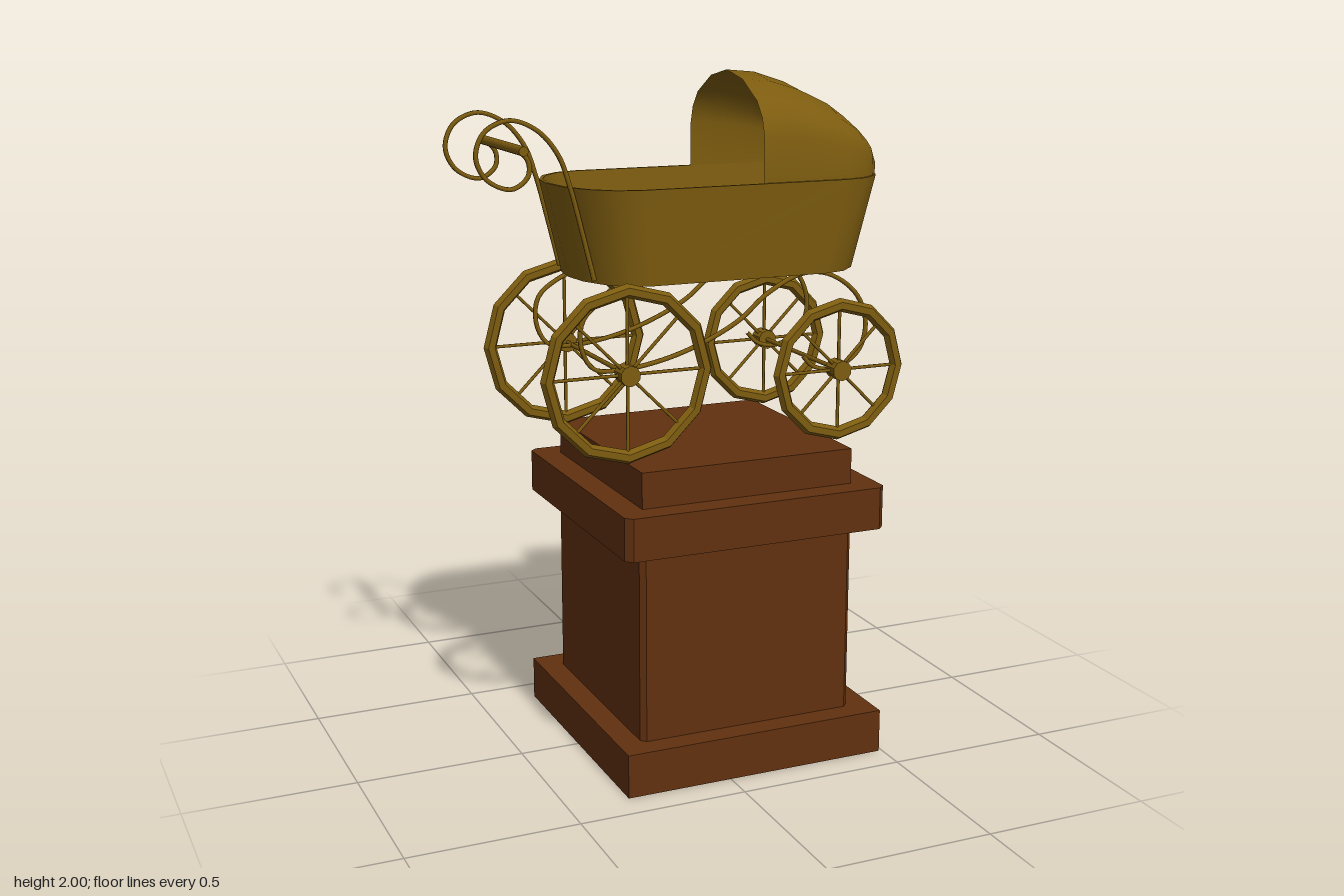
import * as THREE from 'three';
import { toCreasedNormals } from 'three/addons/utils/BufferGeometryUtils.js';

const gold = new THREE.MeshStandardMaterial({ color: 0x7d5c0f });
const goldFlat = new THREE.MeshStandardMaterial({ color: 0x7d5c0f, flatShading: true });
const goldThin = new THREE.MeshStandardMaterial({ color: 0x7d5c0f, side: THREE.DoubleSide });
const wood = new THREE.MeshStandardMaterial({ color: 0x61300f, flatShading: true });
const ZC = -0.015; // middle plane of the pram

function add(parent, name, geometry, material, x = 0, y = 0, z = 0) {
  const mesh = new THREE.Mesh(geometry, material);
  mesh.name = name;
  mesh.position.set(x, y, z);
  parent.add(mesh);
  return mesh;
}

// Skin through rows of points that all have the same length
function loft(rows, crease) {
  const n = rows[0].length;
  const index = [];
  for (let i = 0; i < rows.length - 1; i++) {
    for (let j = 0; j < n - 1; j++) {
      const a = i * n + j, b = a + n;
      index.push(a, b, a + 1, b, b + 1, a + 1);
    }
  }
  const geometry = new THREE.BufferGeometry().setFromPoints(rows.flat());
  geometry.setIndex(index);
  return toCreasedNormals(geometry, crease);
}

// Square block with small chamfers on its upright corners
function block(half, chamfer, height) {
  const h = half, c = half - chamfer;
  const shape = new THREE.Shape(
    [[c, -h], [h, -c], [h, c], [c, h], [-c, h], [-h, c], [-h, -c], [-c, -h]].map(p => new THREE.Vector2(...p)));
  return new THREE.ExtrudeGeometry(shape, { depth: height, bevelEnabled: false }).rotateX(-Math.PI / 2);
}

// Plan outline with straight sides and elliptical ends
function outline(xl, xr, rx, hz, y) {
  const points = [];
  for (const [cx, start] of [[xr, -Math.PI / 2], [xl, Math.PI / 2]]) {
    for (let k = 0; k <= 8; k++) {
      const a = start + k * Math.PI / 8;
      points.push(new THREE.Vector3(cx + rx * Math.cos(a), y, ZC + hz * Math.sin(a)));
    }
  }
  points.push(points[0].clone());
  return points;
}

function tube(points, radius, segments) {
  const curve = new THREE.CatmullRomCurve3(points.map(([x, y]) => new THREE.Vector3(x, y, 0)));
  return new THREE.TubeGeometry(curve, segments, radius, 6);
}

function makeWheel(name, radius) {
  const wheel = new THREE.Group();
  wheel.name = name;
  add(wheel, 'rim', new THREE.TorusGeometry(radius - 0.02, 0.02, 6, 12), goldFlat);
  add(wheel, 'hub', new THREE.CylinderGeometry(0.03, 0.03, 0.052, 10).rotateX(Math.PI / 2), goldFlat);
  const length = radius - 0.03;
  for (let i = 0; i < 8; i++) {
    const spoke = new THREE.CylinderGeometry(0.005, 0.005, length, 6).translate(0, length / 2, 0);
    add(wheel, 'spoke', spoke, gold).rotation.z = i * Math.PI / 4;
  }
  return wheel;
}

export function createModel() {
  const model = new THREE.Group();

  // Pedestal
  const pedestal = new THREE.Group();
  pedestal.name = 'pedestal';
  pedestal.position.set(0.085, 0, 0.003);
  model.add(pedestal);
  add(pedestal, 'pedestalBase', new THREE.BoxGeometry(0.81, 0.13, 0.81), wood, 0, 0.065, 0);
  add(pedestal, 'pedestalShaft', block(0.335, 0.015, 0.57), wood, 0, 0.13, 0);
  add(pedestal, 'pedestalCornice', block(0.405, 0.02, 0.125), wood, 0, 0.7, 0);
  add(pedestal, 'pedestalTop', new THREE.BoxGeometry(0.658, 0.105, 0.66), wood, 0, 0.8775, 0);

  // Pram
  const pram = new THREE.Group();
  pram.name = 'pram';
  model.add(pram);

  // Open basket: underside, outer wall, rim, inner wall, floor
  add(pram, 'basket', loft([
    outline(0.115, 0.115, 0, 0, 1.43),
    outline(-0.16, 0.38, 0.165, 0.24, 1.43),
    outline(-0.2, 0.43, 0.188, 0.262, 1.7),
    outline(-0.2, 0.43, 0.178, 0.252, 1.7),
    outline(-0.16, 0.38, 0.153, 0.23, 1.44),
    outline(0.115, 0.115, 0, 0, 1.44),
  ], 0.6), gold);

  // Hood: one arch swept to the end, shrinking in height and width
  const arch = [[-1, 0], [-1, 0.43], [-0.94, 0.6], [-0.8, 0.75], [-0.42, 0.93], [0, 1],
    [0.42, 0.93], [0.8, 0.75], [0.94, 0.6], [1, 0.43], [1, 0]];
  const stations = [[0.168, 0.3], [0.255, 0.292], [0.35, 0.262], [0.44, 0.218], [0.5, 0.175],
    [0.545, 0.13], [0.58, 0.075], [0.603, 0.03], [0.613, 0]];
  add(pram, 'hood', loft(stations.map(([x, h]) => {
    const t = Math.max(0, (x - 0.43) / 0.186);
    const w = 0.252 * Math.sqrt(1 - t * t);
    return arch.map(([z, y]) => new THREE.Vector3(x, 1.7 + y * h, ZC + z * w));
  }), 0.6), goldThin);

  // Wheels and axles: radius, centre, and the z of each side
  for (const [name, r, x, y, zs] of [
    ['largeWheel', 0.257, -0.245, 1.188, [0.232, -0.27]],
    ['smallWheel', 0.212, 0.42, 1.144, [0.232, -0.26]],
  ]) {
    for (const z of zs) {
      const wheel = makeWheel(name, r);
      wheel.position.set(x, y, z);
      pram.add(wheel);
    }
    add(pram, 'axle', new THREE.CylinderGeometry(0.007, 0.007, zs[0] - zs[1], 8).rotateX(Math.PI / 2),
      gold, x, y, (zs[0] + zs[1]) / 2);
  }

  // Scrolled springs between the axles and the basket
  const spring = [[0.335, 1.18], [0.37, 1.145], [0.44, 1.133], [0.52, 1.18], [0.543, 1.26], [0.51, 1.35],
    [0.42, 1.415], [0.33, 1.424], [0.22, 1.375], [0.125, 1.3], [0, 1.24], [-0.125, 1.203], [-0.245, 1.188],
    [-0.32, 1.197], [-0.357, 1.26], [-0.35, 1.34], [-0.28, 1.395], [-0.17, 1.428]];
  for (const z of [0.168, -0.207]) add(pram, 'spring', tube(spring, 0.007, 90), gold, 0, 0, z);

  // Scrolled handle arms and the grip bar
  const handle = [[-0.515, 1.81], [-0.488, 1.78], [-0.488, 1.738], [-0.535, 1.705], [-0.605, 1.733],
    [-0.635, 1.795], [-0.61, 1.86], [-0.54, 1.89], [-0.46, 1.86], [-0.4, 1.79], [-0.367, 1.7],
    [-0.335, 1.58], [-0.3, 1.44]];
  for (const z of [0.125, -0.157]) add(pram, 'handleArm', tube(handle, 0.007, 80), gold, 0, 0, z);
  add(pram, 'gripBar', new THREE.CylinderGeometry(0.014, 0.014, 0.366, 8).rotateX(Math.PI / 2), gold,
    -0.513, 1.81, -0.017);

  return model;
}
